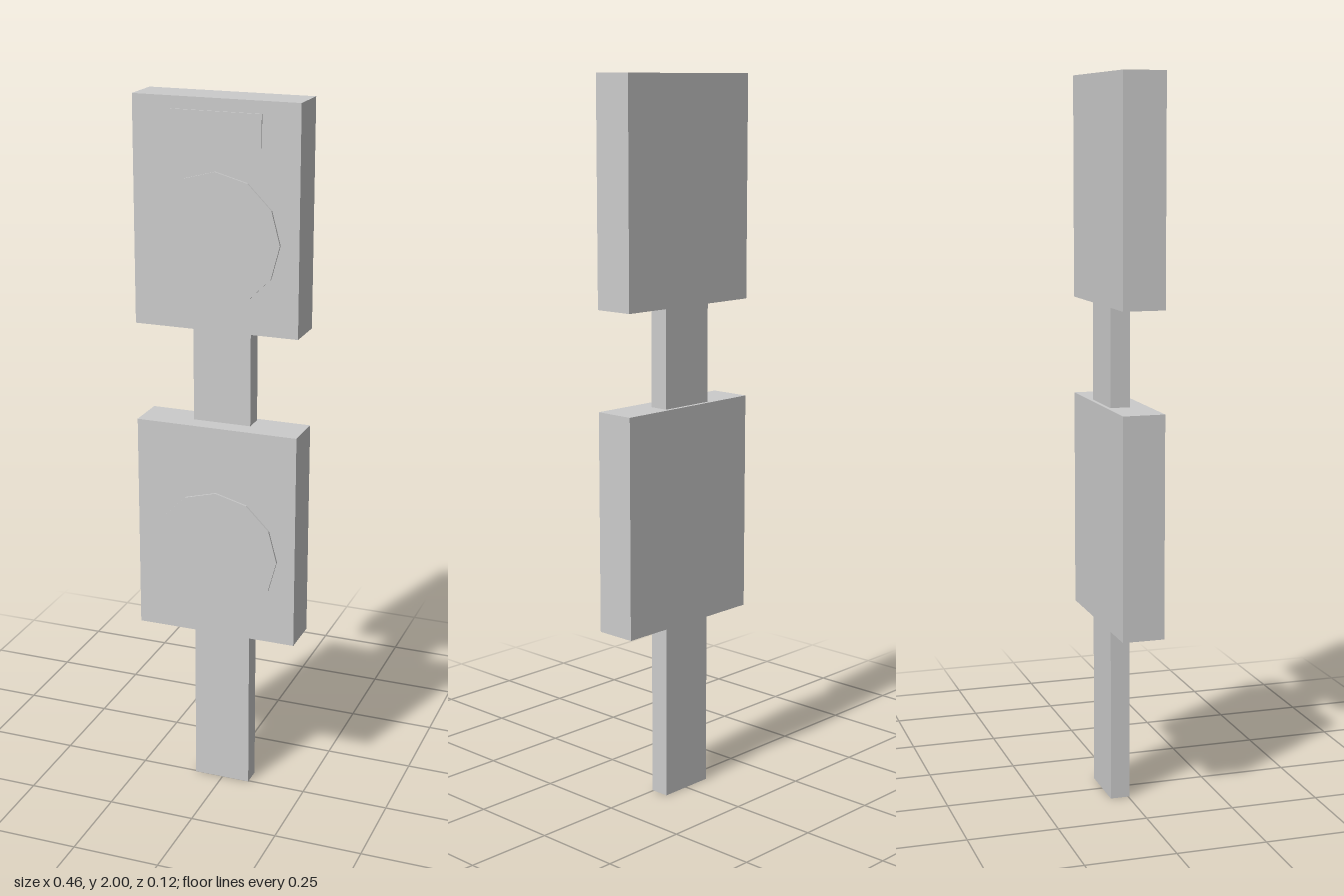
import * as THREE from 'three';

export function createModel() {
  const model = new THREE.Group();
  const grey = new THREE.MeshStandardMaterial({ color: 0xcccccc, flatShading: true });

  const add = (name, geometry, x, y, z) => {
    const mesh = new THREE.Mesh(geometry, grey);
    mesh.name = name;
    mesh.position.set(x, y, z);
    model.add(mesh);
  };

  // Box given by its lower and upper limits on each axis
  const box = (name, [x0, x1], [y0, y1], [z0, z1]) =>
    add(name, new THREE.BoxGeometry(x1 - x0, y1 - y0, z1 - z0),
      (x0 + x1) / 2, (y0 + y1) / 2, (z0 + z1) / 2);

  // Flat post running up behind both panels
  box('post', [-0.084, 0.081], [0, 1.6], [-0.051, 0.004]);

  // Two sign panels, each with a raised twelve-sided disc
  const panels = [['lower', 0.495], ['upper', 1.385]];
  for (const [level, base] of panels) {
    box(level + 'Panel', [-0.231, 0.231], [base, base + 0.615], [-0.062, 0.055]);
    const disc = new THREE.CylinderGeometry(0.18, 0.18, 0.012, 12);
    disc.rotateX(Math.PI / 2);
    add(level + 'Disc', disc, 0, base + 0.247, 0.055);
  }

  // Thin plate above the upper disc
  box('plate', [-0.124, 0.127], [1.88, 1.967], [0.05, 0.059]);

  return model;
}
